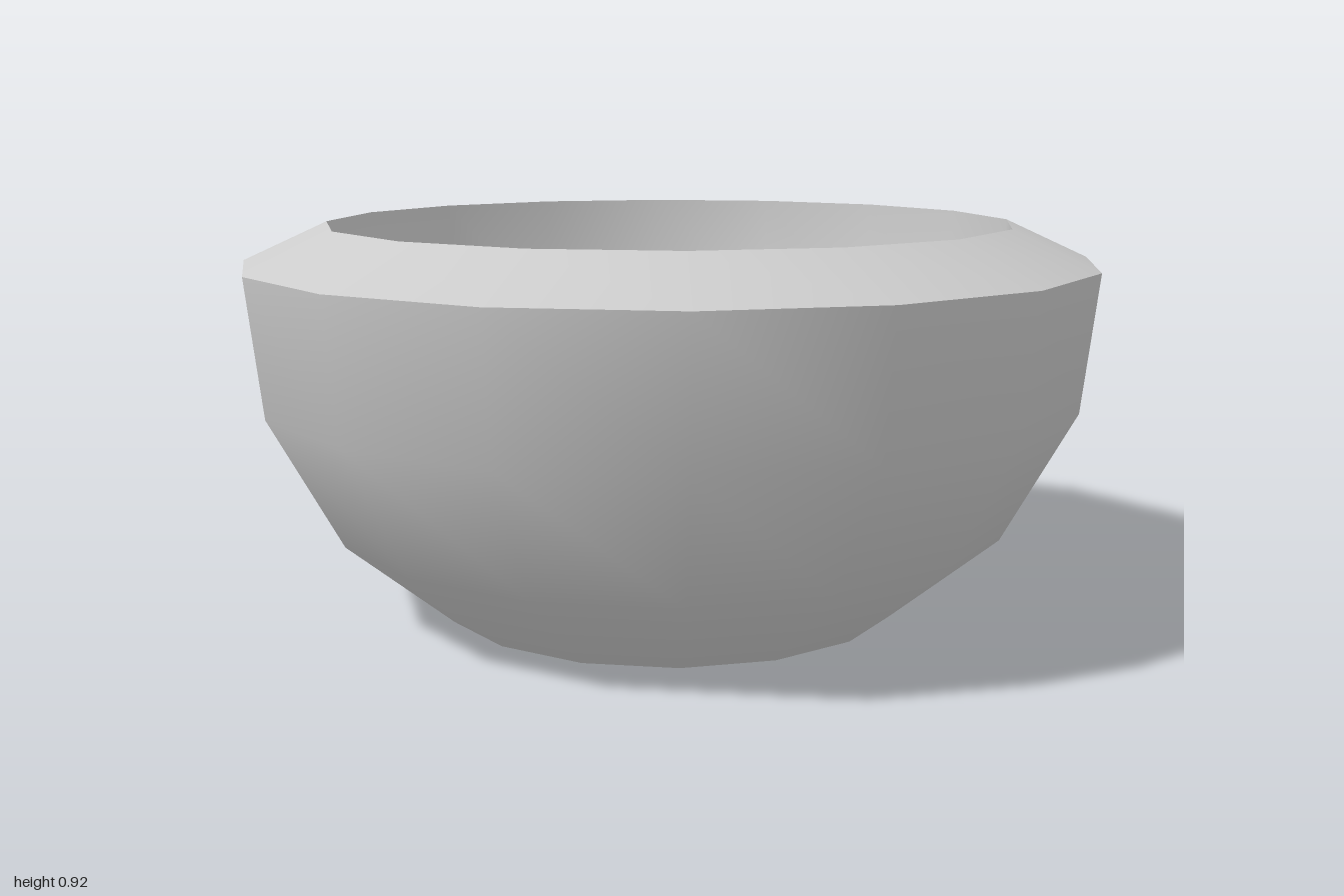
import * as THREE from 'three';

const SIDES = 16;

export function createModel() {
  const bowl = new THREE.Group();
  bowl.name = 'bowl';
  const material = new THREE.MeshStandardMaterial({ color: 0xcccccc, side: THREE.DoubleSide });

  const addPart = (name, geometry) => {
    const mesh = new THREE.Mesh(geometry, material);
    mesh.name = name;
    bowl.add(mesh);
    return mesh;
  };

  // Each part is a separate lathe, so edges between parts stay sharp.
  // Profiles are [radius, height], running counter-clockwise round the section.
  const profiles = {
    outerWall: [[0.55, 0], [0.8, 0.208], [0.965, 0.512], [1, 0.825]],
    slopedRim: [[1, 0.825], [0.804, 0.915]],
    innerWall: [[0.804, 0.915], [0.79, 0.6], [0.705, 0.34], [0.553, 0.16]],
    footRecessWall: [[0.553, 0.16], [0.55, 0]],
  };
  for (const [name, profile] of Object.entries(profiles)) {
    const points = profile.map(([r, y]) => new THREE.Vector2(r, y));
    addPart(name, new THREE.LatheGeometry(points, SIDES));
  }

  // Thin floor, seen from inside the bowl and from the hollow foot
  const floor = addPart('floor', new THREE.CircleGeometry(0.553, SIDES));
  floor.rotation.x = -Math.PI / 2;
  floor.position.y = 0.16;

  return bowl;
}
